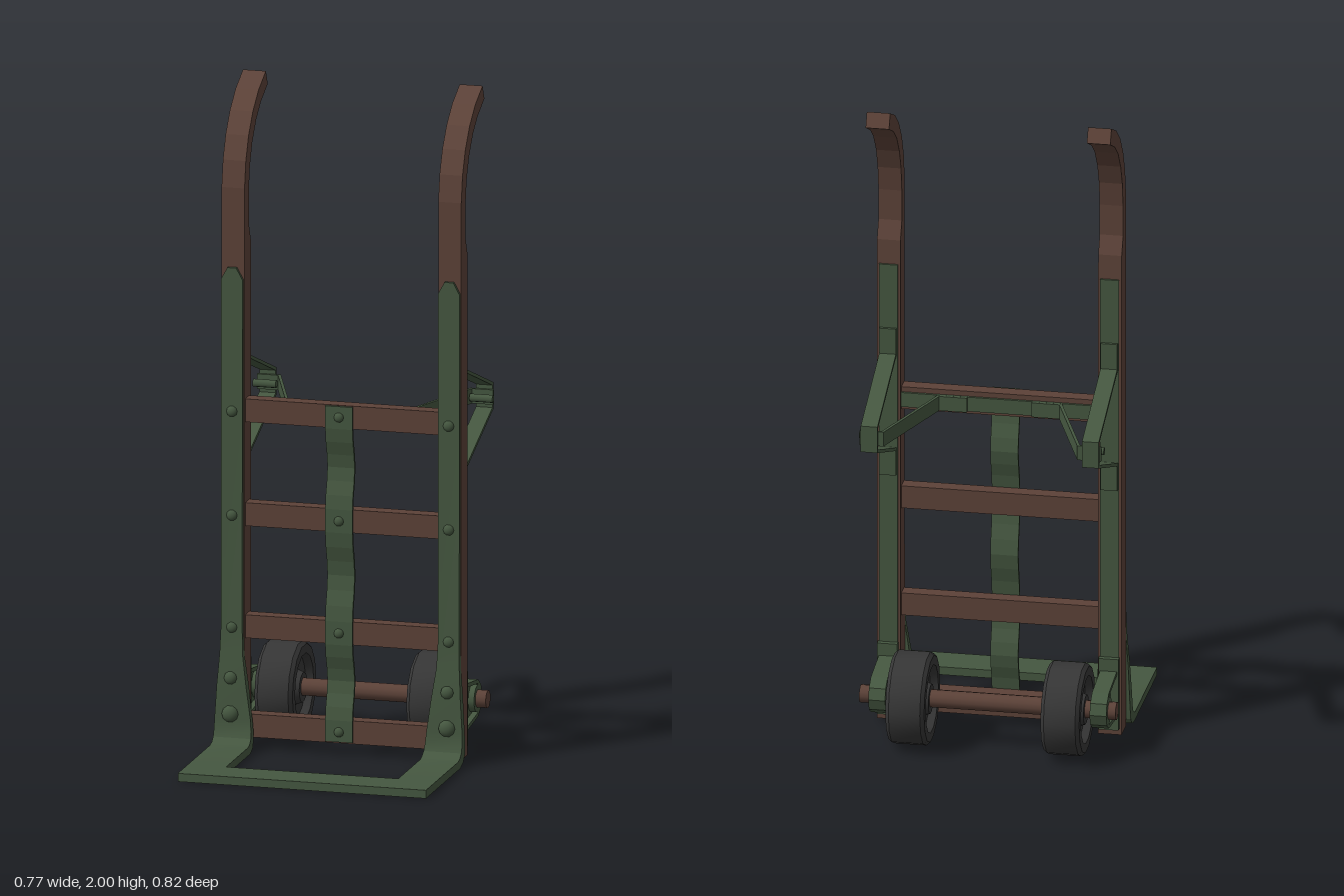
import * as THREE from 'three';
import { toCreasedNormals } from 'three/addons/utils/BufferGeometryUtils.js';

const paint = (color) => new THREE.MeshStandardMaterial({ color, roughness: 0.8, side: THREE.DoubleSide });

// Outline of a band of thickness t that follows a 2D polyline
function bandShape(points, t) {
  const p = points.map(([u, v]) => new THREE.Vector2(u, v));
  const left = [], right = [];
  p.forEach((q, i) => {
    const a = p[Math.max(i - 1, 0)], b = p[Math.min(i + 1, p.length - 1)];
    const d0 = q.clone().sub(a).normalize(), d1 = b.clone().sub(q).normalize();
    const d = d0.clone().add(d1).normalize();
    const lead = i ? d0 : d1;
    const k = t / 2 / Math.max(0.4, d.dot(lead));
    const n = new THREE.Vector2(-d.y, d.x).multiplyScalar(k);
    left.push(q.clone().add(n));
    right.unshift(q.clone().sub(n));
  });
  return new THREE.Shape([...left, ...right]);
}

const polygon = (points) => new THREE.Shape(points.map(([u, v]) => new THREE.Vector2(u, v)));

function extrude(shape, depth) {
  return new THREE.ExtrudeGeometry(shape, { depth, bevelEnabled: false }).translate(0, 0, -depth / 2);
}
// Side outline (-z, y) extruded along x; plan outline (x, -z) extruded along y
const sideExtrude = (shape, width) => extrude(shape, width).rotateY(Math.PI / 2);
const planExtrude = (shape, height) => extrude(shape, height).rotateX(-Math.PI / 2);

// Solid through four-cornered sections: [front z, front y, back z, back y, x min, x max]
function loft(sections) {
  const rings = sections.map(([zf, yf, zb, yb, x0, x1]) =>
    [[x0, yf, zf], [x1, yf, zf], [x1, yb, zb], [x0, yb, zb]]);
  const pos = [];
  const quad = (a, b, c, d) => [a, b, c, a, c, d].forEach((v) => pos.push(...v));
  for (let i = 0; i < rings.length - 1; i++) {
    for (let j = 0; j < 4; j++) {
      const k = (j + 1) % 4;
      quad(rings[i][j], rings[i][k], rings[i + 1][k], rings[i + 1][j]);
    }
  }
  const [a, b, c, d] = rings[0];
  quad(d, c, b, a);
  quad(...rings[rings.length - 1]);
  const geo = new THREE.BufferGeometry();
  geo.setAttribute('position', new THREE.Float32BufferAttribute(pos, 3));
  geo.computeVertexNormals();
  return toCreasedNormals(geo, 0.5);
}

export function createModel() {
  const root = new THREE.Group();
  root.name = 'handTruck';
  const frame = new THREE.Group();
  frame.name = 'frame';
  frame.position.x = -0.005;
  root.add(frame);
  const wood = paint(0x5c4238), steel = paint(0x455740), rubber = paint(0x363636);

  const add = (name, geo, mat, x = 0, y = 0, z = 0) => {
    const mesh = new THREE.Mesh(geo, mat);
    mesh.name = name;
    mesh.position.set(x, y, z);
    frame.add(mesh);
    return mesh;
  };
  const box = (name, mat, w, h, d, x, y, z) => add(name, new THREE.BoxGeometry(w, h, d), mat, x, y, z);
  // Domed rivet facing the front
  const rivet = (x, y, z, r) => add('rivet', new THREE.SphereGeometry(r, 10, 4, 0, Math.PI * 2, 0, Math.PI / 2)
    .rotateX(Math.PI / 2).scale(1, 1, 0.7), steel, x, y, z);

  const railX = 0.331;
  const barHeights = [0.07, 0.37, 0.71, 1.025];

  // Wooden rail with curved handle, as (-z, y)
  const rail = polygon([
    [0.02, 0.01], [0.093, 0.01], [0.093, 1.46], [0.09, 1.53], [0.068, 1.585], [0.068, 1.68],
    [0.08, 1.755], [0.106, 1.82], [0.15, 1.88], [0.2, 1.92], [0.275, 1.957],
    [0.255, 2.0], [0.175, 1.962], [0.113, 1.912], [0.066, 1.85], [0.036, 1.78], [0.022, 1.7],
  ]);
  // Front strap, running from the toe plate up the rail
  const strap = [
    [0.3, 0.025, 0.3, 0, 0.263, 0.379],
    [0.06, 0.025, 0.06, 0, 0.263, 0.379],
    [0.04, 0.03, 0.03, 0.001, 0.263, 0.379],
    [0.024, 0.043, 0.003, 0.01, 0.264, 0.379],
    [0.015, 0.065, -0.014, 0.03, 0.266, 0.379],
    [0.012, 0.1, -0.02, 0.07, 0.269, 0.378],
    [0.01, 0.2, -0.02, 0.2, 0.283, 0.372],
    [0, 0.29, -0.02, 0.29, 0.296, 0.366],
    [-0.007, 0.37, -0.02, 0.37, 0.299, 0.364],
    [-0.009, 1.425, -0.02, 1.425, 0.299, 0.364],
    [-0.009, 1.46, -0.02, 1.46, 0.318, 0.345],
  ];
  // Bent bands of the rear guard and of the axle bearing
  const guard = bandShape([[0.104, 1.255], [0.104, 1.172], [0.403, 1.06], [0.403, 0.985],
    [0.104, 0.872], [0.104, 0.79]], 0.01);
  const bearing = [[0.1, 0.215], [0.24, 0.196], [0.27, 0.175], [0.28, 0.145],
    [0.27, 0.115], [0.24, 0.095], [0.1, 0.077]];
  // Wheel section (radius, offset along axle): tyre, recessed disc and hub
  const wheelHalf = [[0.14, 0.047], [0.13, 0.058], [0.102, 0.058], [0.095, 0.035],
    [0.052, 0.035], [0.045, 0.055], [0.02, 0.055]];
  const wheel = toCreasedNormals(new THREE.LatheGeometry(
    [...wheelHalf.map(([r, w]) => [r, -w]).reverse(), ...wheelHalf]
      .map(([r, w]) => new THREE.Vector2(r, w)), 14).rotateZ(Math.PI / 2), 0.6);

  for (const s of [1, -1]) {
    const x = s * railX;
    add('rail', sideExtrude(rail, 0.07), wood, x);
    add('frontStrap', loft(strap.map(([zf, yf, zb, yb, a, b]) =>
      [zf, yf, zb, yb, Math.min(s * a, s * b), Math.max(s * a, s * b)])), steel);
    box('backStrap', steel, 0.056, 1.41, 0.008, x, 0.75, -0.096);

    // Rear guard: loop on the rail and diagonal stay to the top bar
    add('guardLoop', sideExtrude(guard, 0.05), steel, x);
    add('guardStay', planExtrude(bandShape([[s * 0.361, 0.393], [s * 0.293, 0.393],
      [s * 0.183, 0.088], [s * 0.097, 0.088]], 0.009), 0.045), steel, 0, 1.022);
    add('guardBolt', new THREE.CylinderGeometry(0.012, 0.012, 0.07, 8).rotateZ(Math.PI / 2), steel, x, 1.022, -0.37);

    // Axle bearing: foot, outer band, web and hub
    box('bearingFoot', steel, 0.06, 0.225, 0.02, x, 0.145, -0.106);
    add('bearingBand', sideExtrude(bandShape(bearing, 0.012), 0.05), steel, x);
    add('bearingWeb', sideExtrude(polygon(bearing), 0.014), steel, x);
    add('bearingHub', new THREE.CylinderGeometry(0.042, 0.042, 0.05, 12).rotateZ(Math.PI / 2), steel, x, 0.145, -0.238);

    add('wheel', wheel, rubber, s * 0.232, 0.143, -0.238);

    for (const y of barHeights.slice(1)) rivet(x, y, -0.009, 0.017);
    rivet(x, 0.22, 0.007, 0.02);
    rivet(x, 0.112, 0.01, 0.026);
  }

  // Axle
  add('axle', new THREE.CylinderGeometry(0.027, 0.027, 0.767, 12).rotateZ(Math.PI / 2), wood, 0.004, 0.145, -0.238);

  // Cross bars, with a steel strip behind the top one
  for (const y of barHeights) box('crossBar', wood, 0.6, 0.07, 0.045, 0, y, -0.0525);
  box('topBarStrip', steel, 0.6, 0.045, 0.008, 0, 1.022, -0.079);

  // Centre strap, bowing back between the bars
  const bow = [];
  for (let i = 0; i < barHeights.length - 1; i++) {
    const y0 = barHeights[i] + 0.035, y1 = barHeights[i + 1] - 0.035;
    for (let k = 0; k <= 6; k++) {
      bow.push([0.026 + 0.025 * Math.sin(Math.PI * k / 6) ** 2, y0 + (y1 - y0) * k / 6]);
    }
  }
  bow.unshift([0.026, 0.04]);
  bow.push([0.026, 1.058]);
  add('centreStrap', sideExtrude(bandShape(bow, 0.01), 0.083), steel, -0.008);
  for (const y of barHeights) rivet(-0.008, y, -0.021, 0.015);

  // Front of the toe plate
  box('toePlate', steel, 0.758, 0.025, 0.113, 0, 0.0125, 0.3535);

  return root;
}
